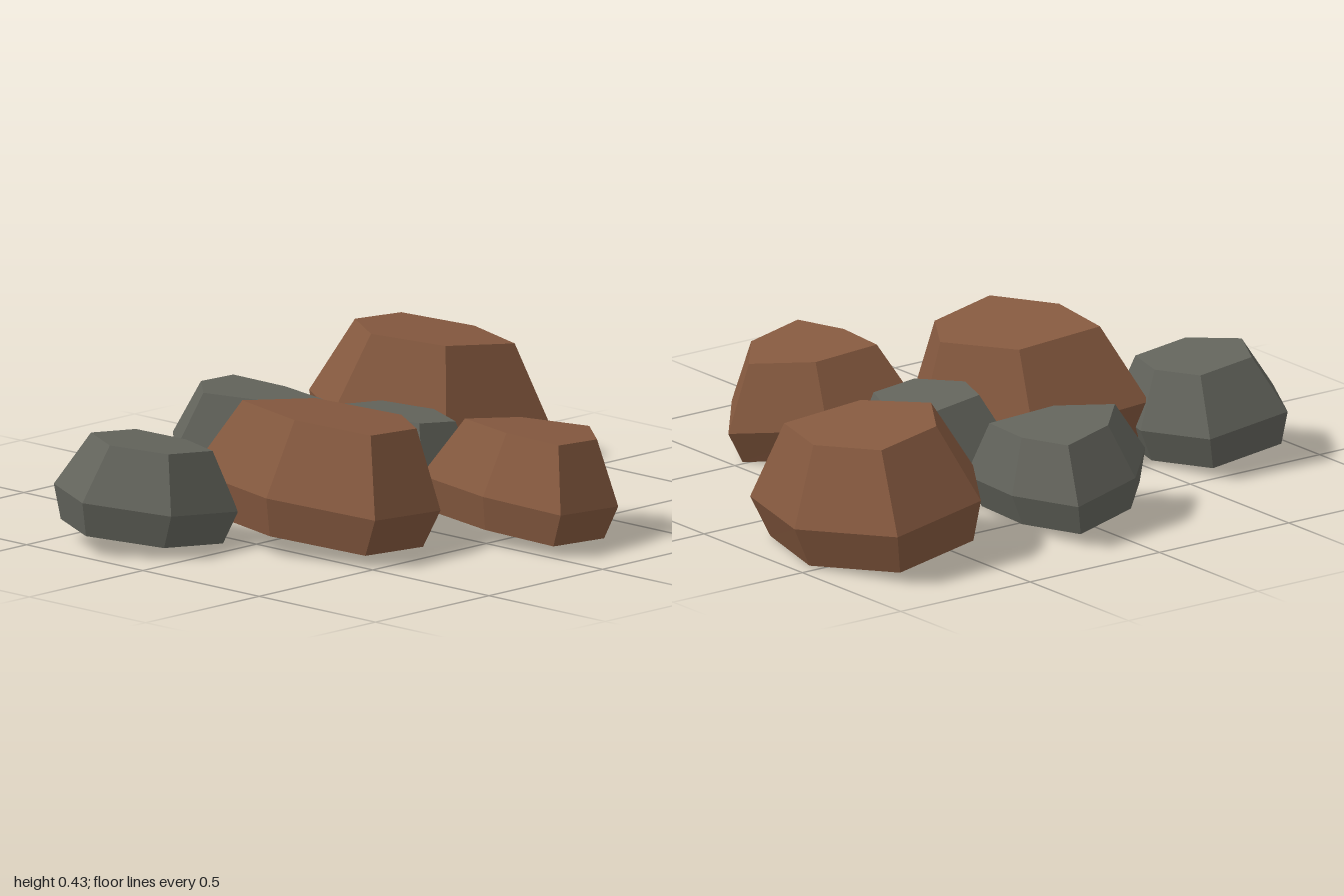
import * as THREE from 'three';

const BROWN = 0x85593f, GREY = 0x63645c;

// Each rock: its widest outline as [x, z], clockwise from above, the heights of
// base, widest ring and top at its centre, and the top's size against the outline.
const ROCKS = [
  { name: 'largeLeftRock', color: BROWN, heights: [0.035, 0.155, 0.395], topScale: 0.7,
    outline: [[-0.53, -0.25], [-0.13, -0.19], [0.01, 0.2], [-0.15, 0.45], [-0.5, 0.51], [-0.61, 0.15]] },
  { name: 'largeRightRock', color: BROWN, heights: [0.035, 0.165, 0.405], topScale: 0.66,
    outline: [[0.5, -0.75], [0.86, -0.8], [1, -0.46], [0.89, -0.09], [0.48, -0.14], [0.31, -0.46]] },
  { name: 'frontRock', color: BROWN, heights: [0.03, 0.135, 0.33], topScale: 0.67,
    outline: [[0, 0.22], [0.315, 0.27], [0.51, 0.52], [0.31, 0.765], [0, 0.82], [-0.045, 0.53]] },
  { name: 'outerGreyRock', color: GREY, heights: [0.035, 0.14, 0.315], topScale: 0.66,
    outline: [[-0.865, -0.515], [-0.565, -0.515], [-0.49, -0.26], [-0.56, -0.02], [-0.855, -0.02], [-1, -0.26]] },
  { name: 'middleGreyRock', color: GREY, heights: [0.03, 0.125, 0.3], topScale: 0.65,
    outline: [[0.005, -0.27], [0.265, -0.28], [0.385, -0.05], [0.275, 0.2], [0.04, 0.19], [-0.075, -0.055]] },
  { name: 'backGreyRock', color: GREY, heights: [0.04, 0.14, 0.31], topScale: 0.7,
    outline: [[-0.09, -0.76], [0.18, -0.825], [0.235, -0.56], [0.2, -0.28], [-0.11, -0.34], [-0.28, -0.56]] },
];

const BASE_SCALE = 0.88;              // base outline relative to the widest one
const TILT_X = 0.11, TILT_Z = 0.05;   // all rocks lean the same way

function rockGeometry({ outline, heights, topScale }) {
  const [cx, cz] = [0, 1].map((k) => outline.reduce((sum, p) => sum + p[k], 0) / outline.length);

  // a point of the leaning rock, from its offset to the centre and its height
  const place = (dx, dz, h) => {
    const rise = h - heights[1];
    return [cx + dx + TILT_X * rise, Math.max(0, h - TILT_X * dx - TILT_Z * dz), cz + dz + TILT_Z * rise];
  };
  const [base, middle, top] = [BASE_SCALE, 1, topScale].map((scale, r) =>
    outline.map(([x, z]) => place((x - cx) * scale, (z - cz) * scale, heights[r])));
  const baseCentre = place(0, 0, heights[0]);
  const topCentre = place(0, 0, heights[2]);

  const positions = [];
  const triangle = (a, b, c) => positions.push(...a, ...b, ...c);
  for (let i = 0; i < outline.length; i++) {
    const j = (i + 1) % outline.length;
    // lower and upper side facets
    for (const [low, high] of [[base, middle], [middle, top]]) {
      triangle(low[j], low[i], high[i]);
      triangle(low[j], high[i], high[j]);
    }
    // top and underside
    triangle(topCentre, top[j], top[i]);
    triangle(baseCentre, base[i], base[j]);
  }
  const geometry = new THREE.BufferGeometry();
  geometry.setAttribute('position', new THREE.Float32BufferAttribute(positions, 3));
  geometry.computeVertexNormals();
  return geometry;
}

export function createModel() {
  const group = new THREE.Group();
  group.name = 'rocks';
  for (const rock of ROCKS) {
    const material = new THREE.MeshStandardMaterial({ color: rock.color, flatShading: true });
    const mesh = new THREE.Mesh(rockGeometry(rock), material);
    mesh.name = rock.name;
    group.add(mesh);
  }
  return group;
}
